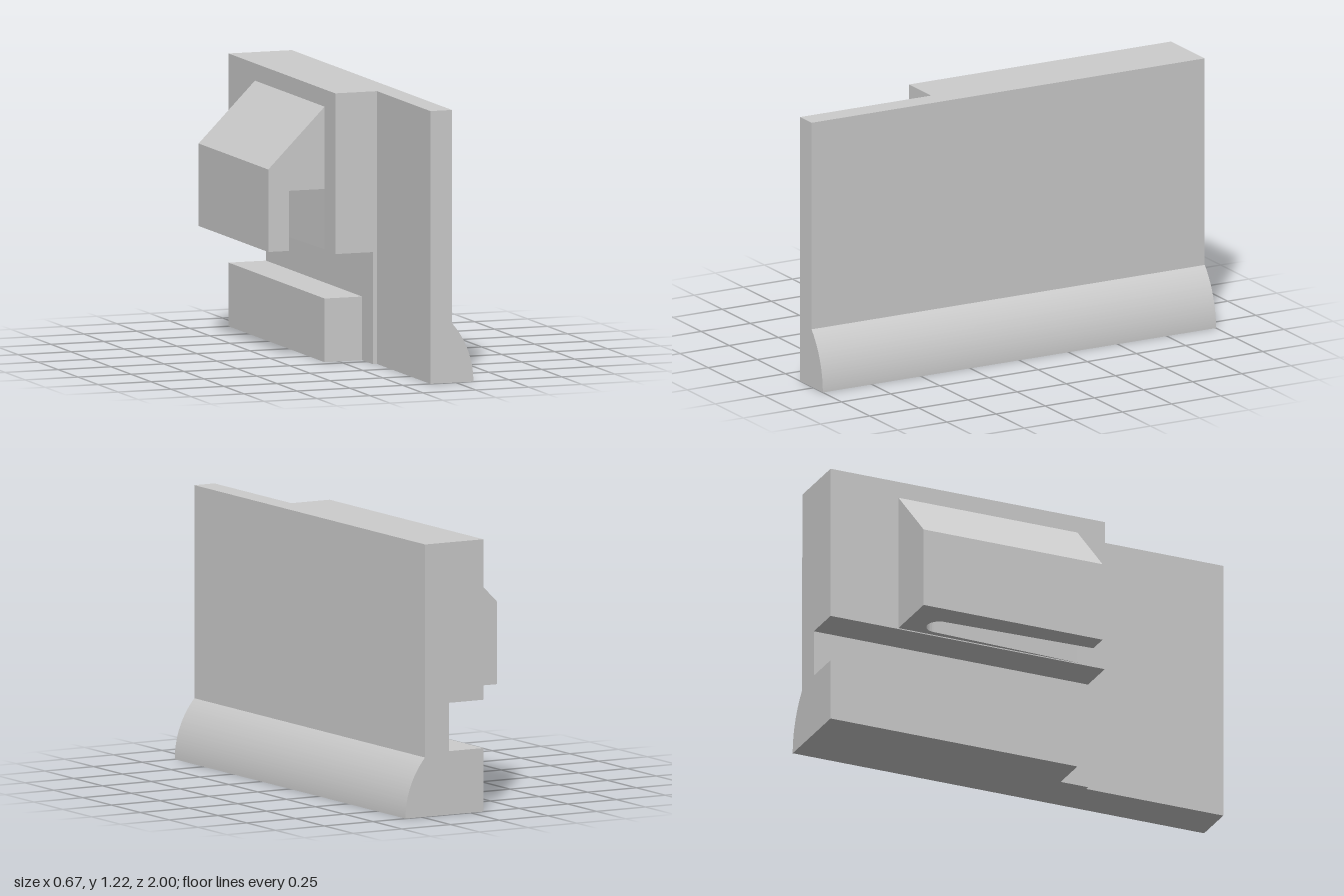
import * as THREE from 'three';
import { toCreasedNormals } from 'three/addons/utils/BufferGeometryUtils.js';

export function createModel() {
  const model = new THREE.Group();
  const grey = new THREE.MeshStandardMaterial({ color: 0xcccccc });
  grey.name = 'light grey';

  const polygon = (points) => new THREE.Shape(points.map(([x, y]) => new THREE.Vector2(x, y)));

  const extrude = (shape, depth) =>
    new THREE.ExtrudeGeometry(shape, { depth, bevelEnabled: false, curveSegments: 32 });

  const add = (name, geometry) => {
    const mesh = new THREE.Mesh(toCreasedNormals(geometry, 0.4), grey);
    mesh.name = name;
    model.add(mesh);
  };

  // Extrudes an x-y profile from the back z to the front z
  const addProfile = (name, shape, back, front) =>
    add(name, extrude(shape, front - back).translate(0, 0, back));

  const top = 1.217, backX = -0.067, panelX = 0.13, slotX = 0.11;

  // Full-length panel with a rounded foot
  const panel = new THREE.Shape();
  panel.moveTo(panelX, 0);
  panel.lineTo(0.333, 0);
  panel.absarc(backX, 0, 0.4, 0, Math.asin(0.265 / 0.4), false);
  panel.lineTo(0.232, top);
  panel.lineTo(panelX, top);
  addProfile('panel', panel, -1, 1);

  // Thick backing, cut away below for the slot
  addProfile('backing', polygon([
    [panelX, 0], [panelX, top], [backX, top], [backX, 0.5], [slotX, 0.5], [slotX, 0],
  ]), -1, 0.333);

  // Ledge under the slot
  addProfile('ledge', polygon([
    [backX, 0], [slotX, 0], [slotX, 0.284], [backX, 0.284],
  ]), -1, 0.2);

  // Upper part of the clip with its sloping top
  const clipX = -0.333, clipBack = -0.67, clipFront = 0.2, pocketTop = 0.773;
  addProfile('clipTop', polygon([
    [clipX, pocketTop], [backX, pocketTop], [backX, 1.14], [clipX, 0.873],
  ]), clipBack, clipFront);

  // Lower part of the clip: plan (x, -z) with a tapered, round-ended pocket
  const plan = new THREE.Shape();
  plan.moveTo(clipX, -clipFront);
  plan.lineTo(-0.235, -clipFront);
  plan.lineTo(-0.21, 0.51);
  plan.absarc(-0.152, 0.51, 0.058, Math.PI, 0, true);
  plan.lineTo(-0.068, -clipFront);
  plan.lineTo(backX, -clipFront);
  plan.lineTo(backX, -clipBack);
  plan.lineTo(clipX, -clipBack);
  const clipBottom = 0.505;
  add('clipPocket', extrude(plan, pocketTop - clipBottom)
    .rotateX(-Math.PI / 2).translate(0, clipBottom, 0));

  return model;
}
